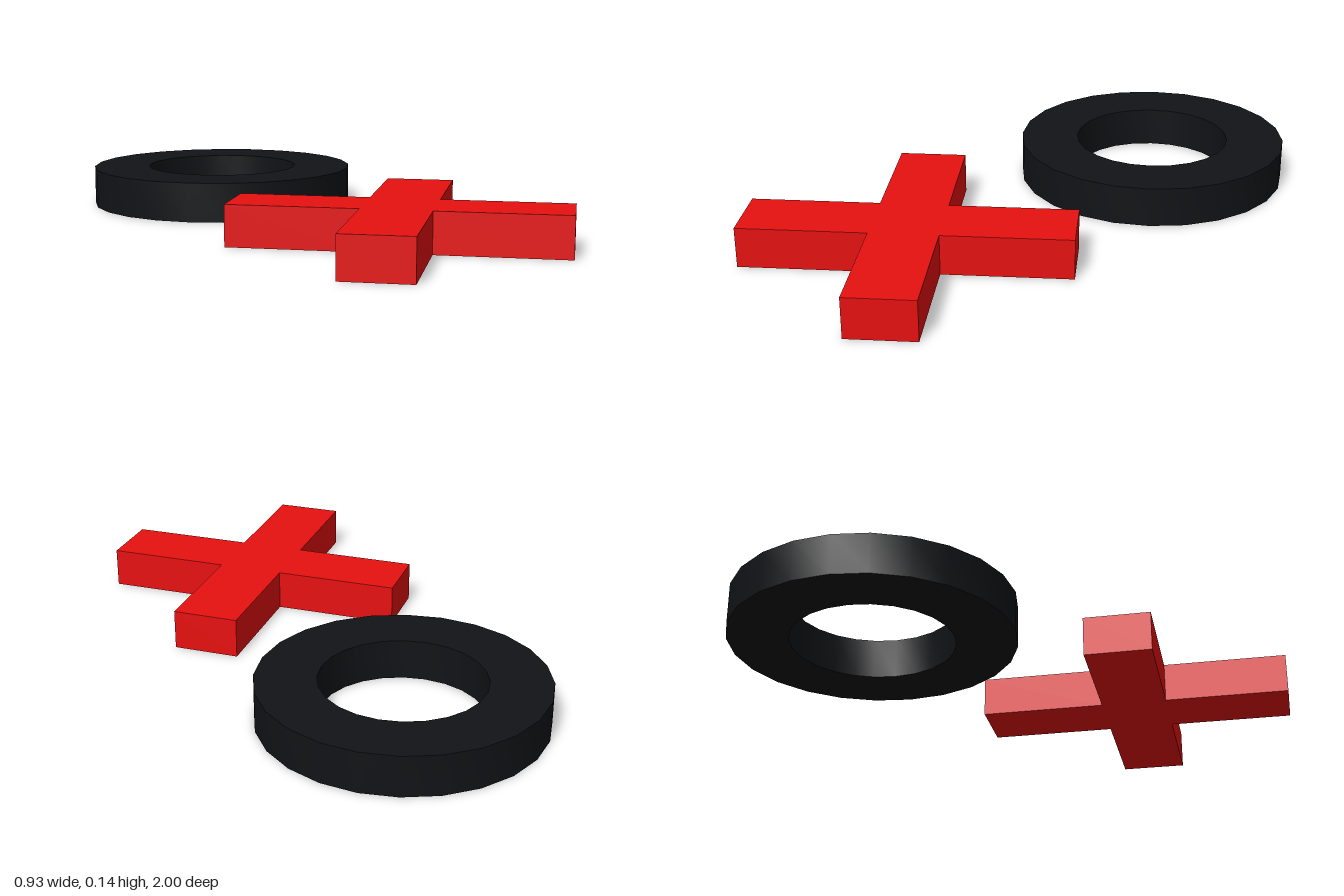
import * as THREE from 'three';
import { toCreasedNormals } from 'three/addons/utils/BufferGeometryUtils.js';

const HEIGHT = 0.135;

// Flat ring: rectangular profile turned around y
function createRing(inner, outer) {
  const profile = [[inner, 0], [outer, 0], [outer, HEIGHT], [inner, HEIGHT], [inner, 0]]
    .map(([r, y]) => new THREE.Vector2(r, y));
  const geometry = toCreasedNormals(new THREE.LatheGeometry(profile, 24), 0.6);
  const ring = new THREE.Mesh(geometry, new THREE.MeshStandardMaterial({ color: 0x111316 }));
  ring.name = 'ring';
  return ring;
}

// Diagonal cross: one arm outline repeated by quarter turns, then extruded
function createCross(length, width) {
  const l = length / 2, w = width / 2;
  const points = [];
  for (let i = 0; i < 4; i++) {
    const turn = Math.PI / 4 + i * Math.PI / 2;
    for (const [x, y] of [[l, -w], [l, w], [w, w]]) {
      points.push(new THREE.Vector2(x, y).rotateAround(new THREE.Vector2(), turn));
    }
  }
  const geometry = new THREE.ExtrudeGeometry(new THREE.Shape(points), { depth: HEIGHT, bevelEnabled: false });
  geometry.rotateX(-Math.PI / 2);
  const cross = new THREE.Mesh(geometry, new THREE.MeshStandardMaterial({ color: 0xe61010 }));
  cross.name = 'cross';
  return cross;
}

export function createModel() {
  const group = new THREE.Group();
  group.name = 'crossAndRing';

  const ring = createRing(0.268, 0.467);
  ring.position.z = -0.533;

  const cross = createCross(1.07, 0.225);
  cross.position.z = 0.542;

  group.add(ring, cross);
  return group;
}
